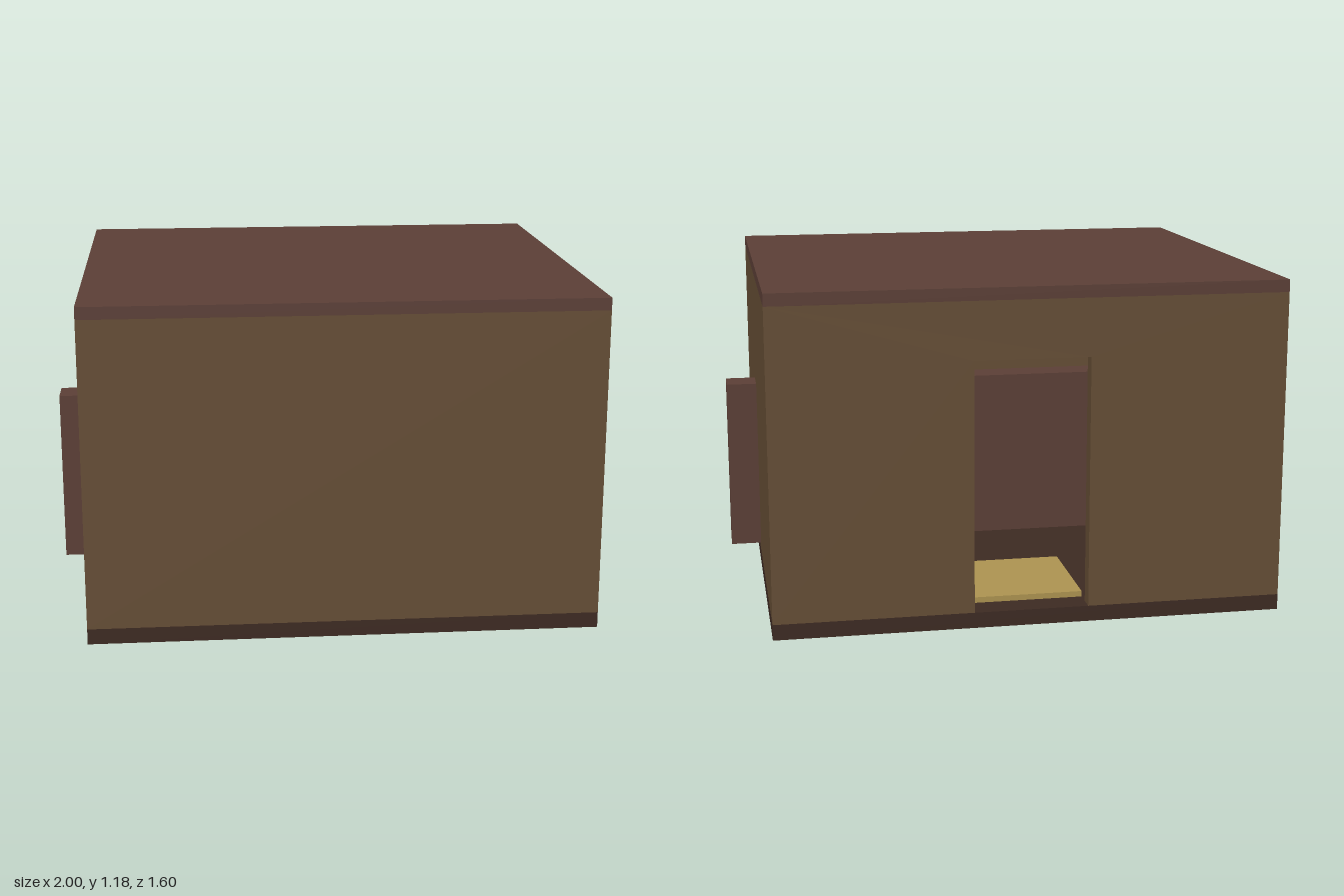
import * as THREE from 'three';

const W = 1.78, D = 1.6, H = 1.18;   // outer size
const FLOOR = 0.055, ROOF = 0.043, T = 0.053;
const TOP = H - ROOF;

const mat = (color) => new THREE.MeshStandardMaterial({ color });

export function createModel() {
  const model = new THREE.Group();
  model.name = 'hut';
  const wood = mat(0x5d4037), wall = mat(0x674f36), dark = mat(0x3e2b23), straw = mat(0xb09652);

  // Box given by its minimum and maximum corners
  const box = (name, material, [x0, y0, z0], [x1, y1, z1]) => {
    const mesh = new THREE.Mesh(new THREE.BoxGeometry(x1 - x0, y1 - y0, z1 - z0), material);
    mesh.position.set((x0 + x1) / 2, (y0 + y1) / 2, (z0 + z1) / 2);
    mesh.name = name;
    model.add(mesh);
  };

  // Floor and roof slabs
  box('floor', dark, [-W / 2, 0, -D / 2], [W / 2, FLOOR, D / 2]);
  box('roof', wood, [-W / 2, TOP, -D / 2], [W / 2, H, D / 2]);

  // Closed front and side walls
  box('frontWall', wall, [-W / 2, FLOOR, D / 2 - T], [W / 2, TOP, D / 2]);
  box('leftWall', wall, [W / 2 - T, FLOOR, -D / 2 + T], [W / 2, TOP, D / 2 - T]);
  box('rightWall', wall, [-W / 2, FLOOR, -D / 2 + T], [-W / 2 + T, TOP, D / 2 - T]);

  // Back wall with a doorway down to the floor
  const outline = [
    [-W / 2, FLOOR], [-0.2, FLOOR], [-0.2, 0.935], [0.2, 0.935],
    [0.2, FLOOR], [W / 2, FLOOR], [W / 2, TOP], [-W / 2, TOP],
  ].map(([x, y]) => new THREE.Vector2(x, y));
  const backWall = new THREE.Mesh(
    new THREE.ExtrudeGeometry(new THREE.Shape(outline), { depth: T, bevelEnabled: false }), wall);
  backWall.position.z = -D / 2;
  backWall.name = 'backWall';
  model.add(backWall);

  // Long partition whose ends pass through both side walls
  box('partition', wood, [-1, 0.09, 0.03], [1, 0.713, 0.15]);

  // Furnishings inside the doorway
  box('doorMat', straw, [-0.2, FLOOR, -0.7], [0.2, 0.075, -0.295]);
  box('chest', wood, [0.46, FLOOR, -0.6], [0.8, 0.23, -0.21]);

  return model;
}
